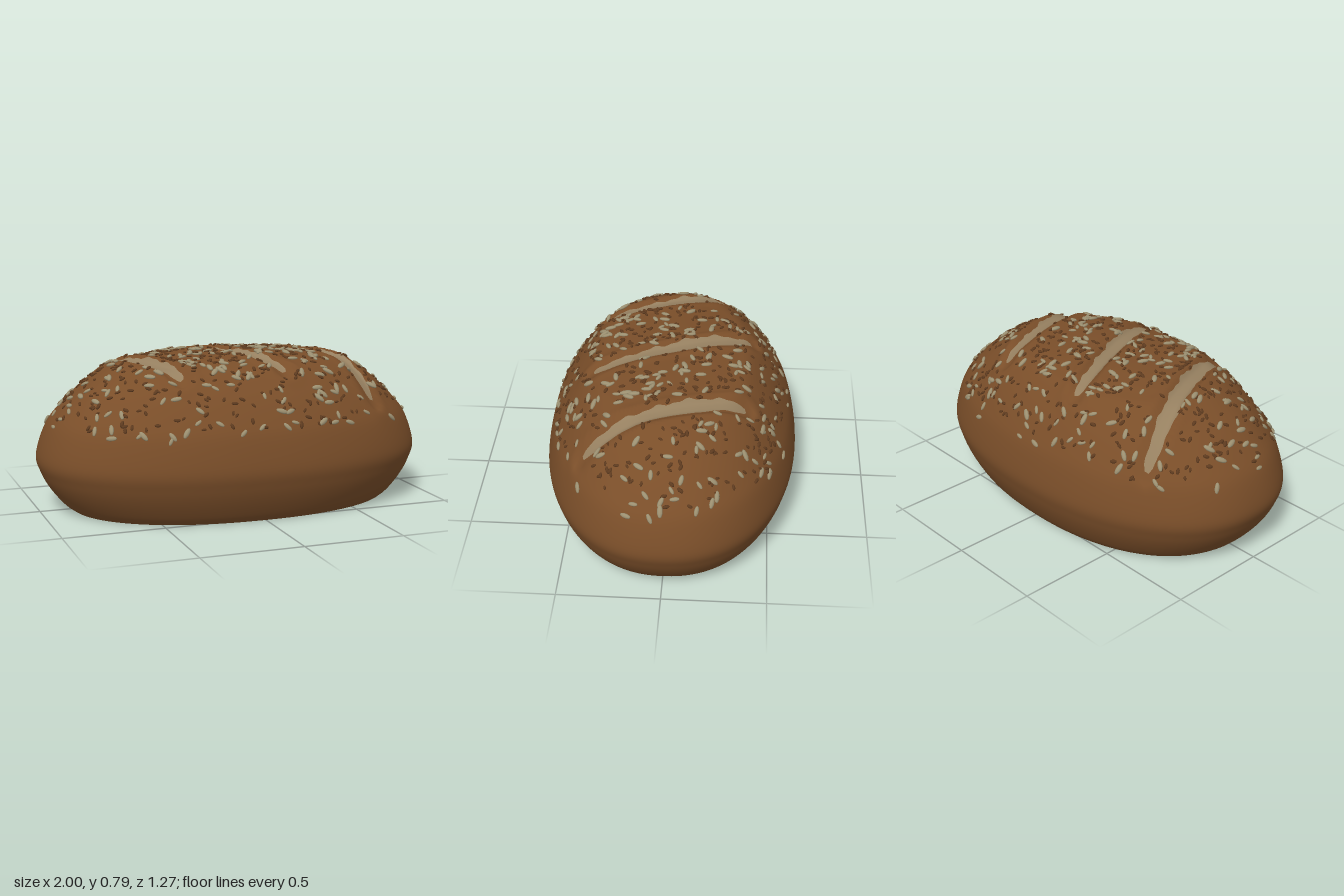
import * as THREE from 'three';
import { mergeGeometries, mergeVertices } from 'three/addons/utils/BufferGeometryUtils.js';

const HALF_WIDTH = 0.634, POWER = 2.2;

// Loaf profile, from the base edge up to the crown: [share of plan outline, height]
const PROFILE = new THREE.SplineCurve([
  [0.835, 0], [0.88, 0.035], [0.94, 0.11], [0.98, 0.185], [1, 0.27], [0.955, 0.41], [0.89, 0.5],
  [0.77, 0.615], [0.62, 0.712], [0.5, 0.738], [0.4, 0.75], [0.2, 0.763], [0.001, 0.766],
].map(([f, y]) => new THREE.Vector2(f, y))).getSpacedPoints(100);
const CROWN = PROFILE.filter((p) => p.y > 0.3);

// Ends of the diagonal cuts: [x, z] back, [x, z] front
const CUTS = [
  [[-0.665, -0.40], [-0.37, 0.36]],
  [[-0.165, -0.39], [0.15, 0.385]],
  [[0.385, -0.37], [0.625, 0.39]],
].map(([a, b]) => [new THREE.Vector2(...a), new THREE.Vector2(...b)]);

function seeded(seed) {
  return () => {
    seed = (seed * 16807) % 2147483647;
    return seed / 2147483647;
  };
}

function cutDistance(x, z) {
  return Math.min(...CUTS.map(([a, b]) => {
    const dx = b.x - a.x, dz = b.y - a.y;
    const t = THREE.MathUtils.clamp(((x - a.x) * dx + (z - a.y) * dz) / (dx * dx + dz * dz), 0, 1);
    return Math.hypot(x - a.x - dx * t, z - a.y - dz * t);
  }));
}

// Change in height from the cuts, their raised lips and slight unevenness
function relief(x, z) {
  const d = cutDistance(x, z);
  return -0.022 * Math.exp(-((d / 0.045) ** 4)) + 0.008 * Math.exp(-(((d - 0.065) / 0.02) ** 2))
    + 0.003 * Math.sin(9 * x + 4 * z) * Math.sin(11 * z - 3 * x);
}

// Height of the crust above a point in plan
function height(x, z) {
  const f = (Math.abs(x) ** POWER + Math.abs(z / HALF_WIDTH) ** POWER) ** (1 / POWER);
  let i = CROWN.findIndex((p) => p.x < f && p.y > 0.4);
  if (i < 1) i = CROWN.length - 1;
  const a = CROWN[i - 1], b = CROWN[i];
  return THREE.MathUtils.lerp(a.y, b.y, (f - a.x) / (b.x - a.x)) + relief(x, z);
}

// Turns a round outline of radius 1 into the long loaf outline
function toOutline(x, z) {
  const r = Math.hypot(x, z);
  if (r === 0) return [0, 0];
  const k = r / (Math.abs(x) ** POWER + Math.abs(z) ** POWER) ** (1 / POWER);
  return [x * k, z * k * HALF_WIDTH];
}

function loafGeometry() {
  let geo = new THREE.LatheGeometry(PROFILE, 160);
  geo.deleteAttribute('uv');
  geo.deleteAttribute('normal');
  const p = geo.attributes.position;
  for (let i = 0; i < p.count; i++) {
    const [x, z] = toOutline(p.getX(i), p.getZ(i));
    const y = p.getY(i);
    const blend = THREE.MathUtils.smoothstep(y, 0.35, 0.48);
    p.setXYZ(i, x, y + (blend > 0 ? blend * relief(x, z) : 0), z);
  }
  geo = mergeVertices(geo, 1e-5);
  geo.computeVertexNormals();
  return geo;
}

function baseGeometry() {
  const geo = new THREE.CircleGeometry(PROFILE[0].x, 160).rotateX(Math.PI / 2);
  const p = geo.attributes.position;
  for (let i = 0; i < p.count; i++) {
    const [x, z] = toOutline(p.getX(i), p.getZ(i));
    p.setXYZ(i, x, 0, z);
  }
  return geo;
}

// Pale crumb strip draped along the floor of a cut, with ragged edges
function crumbGeometry([a, b], phase) {
  const geo = new THREE.PlaneGeometry(1, 1, 8, 48).rotateX(-Math.PI / 2);
  const p = geo.attributes.position;
  const dir = b.clone().sub(a).normalize();
  for (let i = 0; i < p.count; i++) {
    const u = p.getX(i) * 2, t = p.getZ(i) + 0.5;
    const ragged = 1 + 0.1 * Math.sin(t * 31 + phase + u) + 0.07 * Math.sin(t * 67 + phase * 2 - u);
    const w = u * 0.041 * ragged * (0.25 + 0.75 * Math.max(0, Math.sin(Math.PI * t)) ** 0.4);
    const bend = -0.008 * Math.sin(t * Math.PI * 2);
    const x = a.x + (b.x - a.x) * t + dir.y * (w + bend);
    const z = a.y + (b.y - a.y) * t - dir.x * (w + bend);
    p.setXYZ(i, x, height(x, z) + 0.007, z);
  }
  geo.computeVertexNormals();
  return geo;
}

// Flattened seeds scattered over the crown, lying along the crust
function seedGeometry({ count, length, width, thickness, seed, reach }) {
  const rand = seeded(seed);
  const grain = new THREE.SphereGeometry(1, 8, 5).rotateZ(Math.PI / 2);
  const up = new THREE.Vector3(0, 1, 0);
  const seeds = [];
  while (seeds.length < count) {
    const angle = rand() * Math.PI * 2, f = Math.sqrt(rand()) * reach;
    const [x, z] = toOutline(f * Math.cos(angle), f * Math.sin(angle));
    const spin = rand() * Math.PI * 2, size = 0.75 + rand() * 0.45;
    if (cutDistance(x, z) < 0.05) continue;
    const e = 0.008;
    const normal = new THREE.Vector3(
      height(x - e, z) - height(x + e, z), 2 * e, height(x, z - e) - height(x, z + e)).normalize();
    const turn = new THREE.Quaternion().setFromUnitVectors(up, normal)
      .multiply(new THREE.Quaternion().setFromAxisAngle(up, spin));
    const place = new THREE.Vector3(x, height(x, z), z).addScaledVector(normal, thickness * 0.4);
    const scale = new THREE.Vector3(length, thickness, width).multiplyScalar(size);
    seeds.push(grain.clone().applyMatrix4(new THREE.Matrix4().compose(place, turn, scale)));
  }
  return mergeGeometries(seeds);
}

export function createModel() {
  const material = (name, color) => {
    const m = new THREE.MeshStandardMaterial({ color });
    m.name = name;
    return m;
  };
  const crust = material('brown crust', 0x7a4e29);
  const crumb = material('pale crumb', 0x968060);
  const paleSeed = material('pale seed', 0x9c9071);
  const darkSeed = material('dark seed', 0x5e3b1f);

  const model = new THREE.Group();
  model.name = 'seededLoaf';
  const add = (name, geometry, mat) => {
    const mesh = new THREE.Mesh(geometry, mat);
    mesh.name = name;
    model.add(mesh);
  };

  add('loaf', loafGeometry(), crust);
  add('base', baseGeometry(), crust);
  CUTS.forEach((cut, i) => add(`cut${i + 1}`, crumbGeometry(cut, i * 2.3), crumb));
  add('largeSeeds', seedGeometry(
    { count: 270, length: 0.027, width: 0.012, thickness: 0.008, seed: 4711, reach: 0.95 }), paleSeed);
  add('smallSeeds', seedGeometry(
    { count: 560, length: 0.015, width: 0.008, thickness: 0.006, seed: 1234, reach: 0.93 }), darkSeed);
  return model;
}
